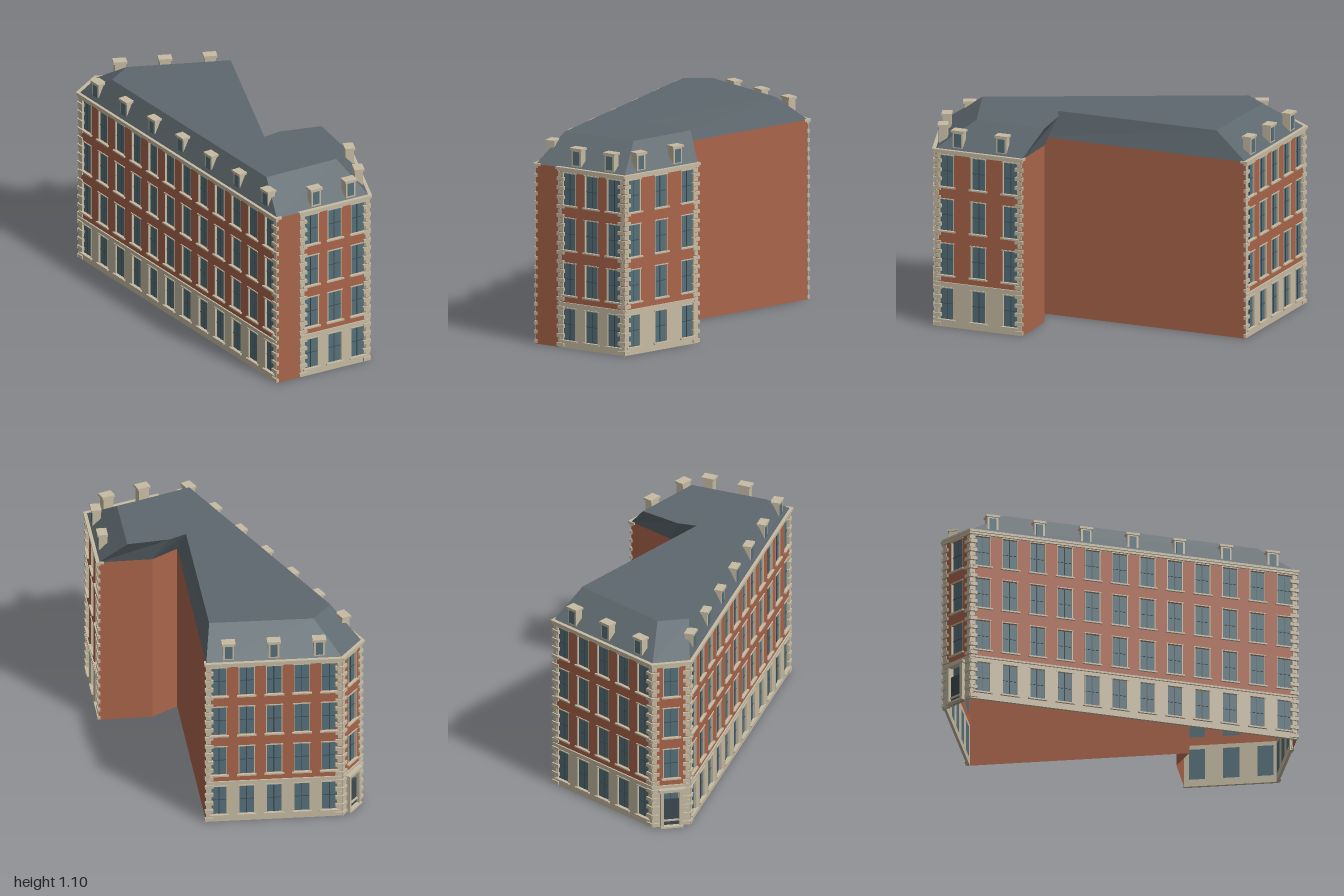
import * as THREE from 'three';
import { mergeGeometries } from 'three/addons/utils/BufferGeometryUtils.js';

const mat = (color) => new THREE.MeshStandardMaterial({ color, flatShading: true, side: THREE.DoubleSide });
const BRICK = mat(0xa9644a), STONE = mat(0xc6bba3), GLASS = mat(0x55707a), BAR = mat(0x3c4b52), SLATE = mat(0x5d686e);

const EAVE = 0.96, TOP = 1.1, BASE = 0.235;
const WIN_W = 0.085, WIN_H = 0.172;
const FLOORS = [0.04, 0.281, 0.522, 0.761];
const DEPTH = 0.014;

// Plan corners [x, z] of the walls
const A = [-0.53, -0.57], B = [-0.982, -0.02], C = [-0.93, 0.172], D = [0.803, 0.562];
const D2 = [0.85, 0.432], E = [0.985, 0.045], F = [0.59, -0.252], G = [0.416, -0.03], H = [0.40, 0.135];

// Axis-aligned box from centre and size
const box = (x, y, z, w, h, d) => new THREE.BoxGeometry(w, h, d).translate(x, y, z);

// Wall panel with rectangular openings, extruded inwards
function panel(x0, x1, y0, y1, holes) {
  const rect = (S, a, b, c, d) => new S().moveTo(a, c).lineTo(b, c).lineTo(b, d).lineTo(a, d).closePath();
  const s = rect(THREE.Shape, x0, x1, y0, y1);
  for (const [x, y] of holes)
    s.holes.push(rect(THREE.Path, x - WIN_W / 2, x + WIN_W / 2, y, y + WIN_H));
  return new THREE.ExtrudeGeometry(s, { depth: DEPTH, bevelEnabled: false }).translate(0, 0, -DEPTH);
}

// Facade group: local x runs along the wall, local z points outwards
function facade(name, p, q, count, dormers, door = false) {
  const g = new THREE.Group();
  g.name = name;
  const dx = q[0] - p[0], dz = q[1] - p[1], L = Math.hypot(dx, dz);
  g.position.set(p[0], 0, p[1]);
  g.rotation.y = -Math.atan2(dz, dx);

  const parts = new Map();
  const add = (part, material, geo) => {
    if (!parts.has(part)) parts.set(part, { material, list: [] });
    parts.get(part).list.push(geo);
  };

  const margin = 0.067;
  const cols = count === 1 ? [L / 2]
    : Array.from({ length: count }, (_, i) => margin + (i * (L - 2 * margin)) / (count - 1));
  const holes = (ys) => ys.flatMap((y) => cols.map((x) => [x, y]));

  // Walls, string course and stepped cornice
  add('stoneBase', STONE, panel(0, L, 0, BASE, holes(FLOORS.slice(0, 1))));
  add('brickWall', BRICK, panel(0, L, BASE, EAVE, holes(FLOORS.slice(1))));
  add('stringCourse', STONE, box(L / 2, BASE + 0.004, 0.002, L, 0.01, 0.012));
  add('cornice', STONE, box(L / 2, 0.946, 0, L + 0.008, 0.012, 0.016));
  add('cornice', STONE, box(L / 2, 0.958, -0.006, L + 0.02, 0.013, 0.04));

  // Windows: pane, glazing bars, jambs, sill and lintel
  for (const [x, y] of holes(FLOORS)) {
    const cy = y + WIN_H / 2;
    add('windowPanes', GLASS, box(x, cy, -0.012, WIN_W, WIN_H, 0.002));
    add('glazingBars', BAR, box(x, cy, -0.01, 0.004, WIN_H, 0.004));
    add('glazingBars', BAR, box(x, cy, -0.01, WIN_W, 0.003, 0.004));
    for (const s of [-1, 1])
      add('windowJambs', STONE, box(x + s * (WIN_W / 2 - 0.002), cy, -0.005, 0.004, WIN_H, 0.012));
    add('windowSills', STONE, box(x, y - 0.002, 0.003, WIN_W + 0.018, 0.008, 0.016));
    add('windowLintels', STONE, box(x, y + WIN_H + 0.002, 0.001, WIN_W + 0.008, 0.005, 0.008));
  }

  // Alternating corner blocks at both ends
  for (let i = 0; i < 38; i++) {
    const long = i % 2 === 0, w = long ? 0.044 : 0.024, y = 0.015 + i * 0.0246;
    for (const s of [-1, 1]) {
      const out = long ? 0.007 : 0;
      const x = s < 0 ? w / 2 - out : L - w / 2 + out;
      add('quoins', STONE, box(x, y, 0, w, long ? 0.019 : 0.022, long ? 0.016 : 0.006));
    }
  }

  // Roof dormers standing just behind the cornice
  for (let i = 0; i < dormers; i++) {
    const x = (L * (i + 0.5)) / dormers;
    add('dormers', STONE, box(x, 1.01, -0.036, 0.058, 0.105, 0.044));
    add('dormerCaps', STONE, box(x, 1.064, -0.034, 0.072, 0.012, 0.054));
    add('dormerPanes', GLASS, box(x, 1.015, -0.0135, 0.038, 0.072, 0.003));
  }

  // Entrance with stone surround
  if (door) {
    const x = L / 2;
    for (const s of [-1, 1]) add('doorSurround', STONE, box(x + s * 0.05, 0.105, 0.008, 0.018, 0.21, 0.026));
    add('doorSurround', STONE, box(x, 0.217, 0.01, 0.135, 0.016, 0.034));
    add('doorLeaf', BAR, box(x, 0.08, -0.002, 0.082, 0.16, 0.008));
    add('doorStep', STONE, box(x, 0.005, 0.012, 0.12, 0.01, 0.03));
  }

  for (const [part, { material, list }] of parts) {
    const m = new THREE.Mesh(mergeGeometries(list), material);
    m.name = part;
    g.add(m);
  }
  return g;
}

// Flat-shaded mesh from triangles given as points
function triMesh(name, material, points) {
  const geo = new THREE.BufferGeometry().setFromPoints(points);
  geo.computeVertexNormals();
  const m = new THREE.Mesh(geo, material);
  m.name = name;
  return m;
}
const at = ([x, z], y) => new THREE.Vector3(x, y, z);
const quad = (a, b, c, d) => [a, b, c, a, c, d];

export function createModel() {
  const model = new THREE.Group();
  model.name = 'cornerBuilding';

  // Street facades
  model.add(
    facade('leftFacade', A, B, 5, 3),
    facade('entranceFacade', B, C, 1, 0, true),
    facade('frontFacade', C, D, 12, 7),
    facade('rightFacade', D2, E, 3, 2),
    facade('rightRearFacade', E, F, 3, 2),
  );

  // Plain brick party walls
  const plain = [[D, D2], [F, G], [G, H], [H, A]];
  model.add(triMesh('plainWalls', BRICK,
    plain.flatMap(([p, q]) => quad(at(q, 0), at(p, 0), at(p, EAVE), at(q, EAVE)))));

  // Roof: sloping sides from the eaves to a flat top
  const eaves = [A, B, C, D, E, F, G, H];
  const ridge = [[-0.41, -0.43], [-0.76, -0.01], [-0.72, 0.15], [0.63, 0.45],
    [0.76, 0.05], [0.45, -0.18], [0.33, 0.01], [0.31, 0.11]];
  const slopes = eaves.flatMap((p, i) => {
    const j = (i + 1) % eaves.length;
    return quad(at(p, EAVE), at(eaves[j], EAVE), at(ridge[j], TOP), at(ridge[i], TOP));
  });
  model.add(triMesh('roofSlopes', SLATE, slopes));

  const flat = ridge.map(([x, z]) => new THREE.Vector2(x, -z));
  const faces = THREE.ShapeUtils.triangulateShape(flat, []);
  const up = faces.flatMap((f) => {
    const [a, b, c] = f.map((k) => at(ridge[k], TOP));
    const n = b.clone().sub(a).cross(c.clone().sub(a));
    return n.y > 0 ? [a, b, c] : [a, c, b];
  });
  model.add(triMesh('roofTop', SLATE, up));

  return model;
}
